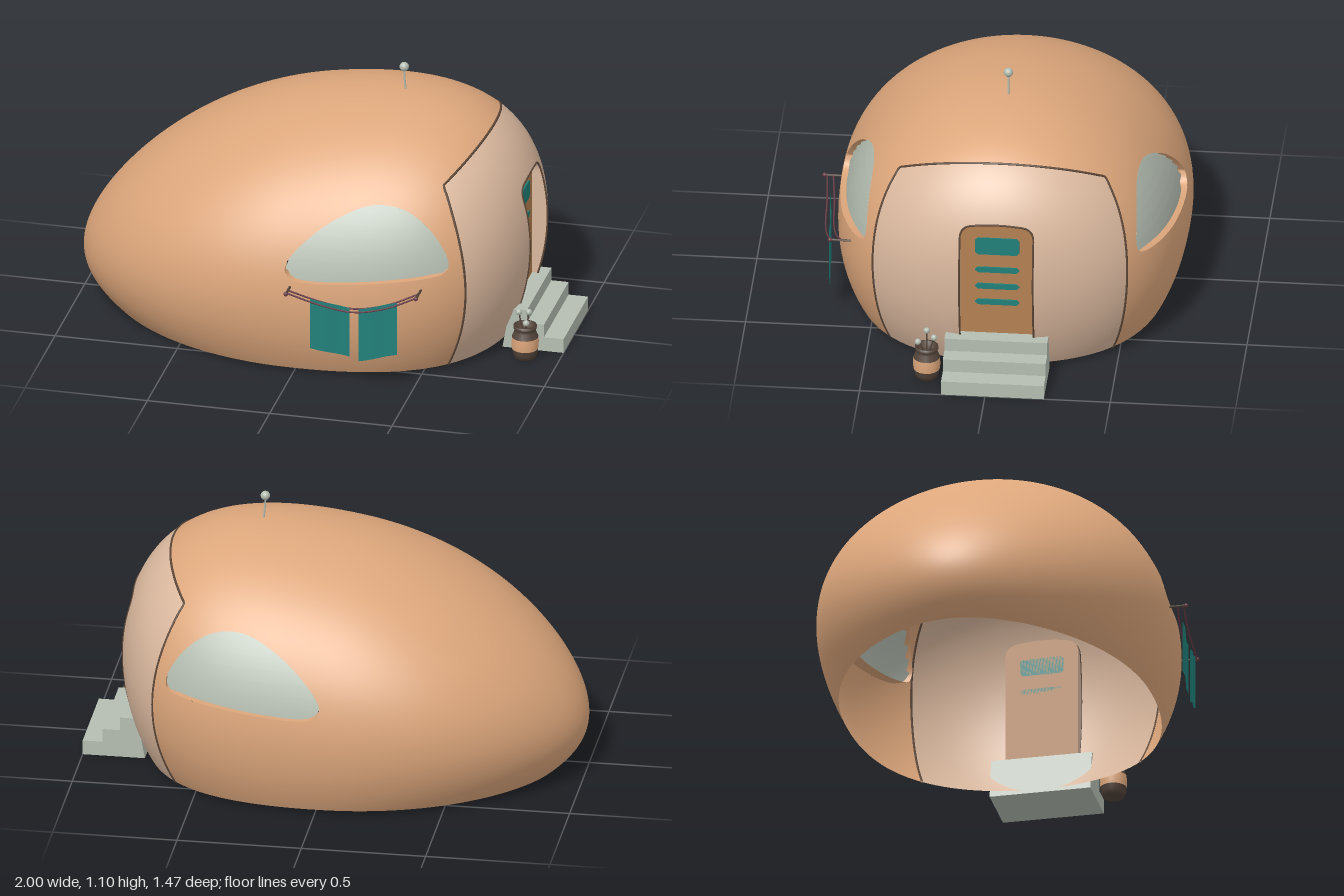
import * as THREE from 'three';
import { mergeVertices } from 'three/addons/utils/BufferGeometryUtils.js';

const mat = (name, color) => new THREE.MeshStandardMaterial({ name, color, side: THREE.DoubleSide });
const M = {
  shell: mat('shell clay', 0xdca67b), panel: mat('front panel', 0xdab89e), door: mat('door wood', 0xb58253),
  teal: mat('teal', 0x21807a), grey: mat('pale grey', 0xb5beb2), seam: mat('seam brown', 0x5e4838),
  dark: mat('dark brown', 0x53443a), cord: mat('cord', 0x6b3d48),
};
const ZC = -0.03, FLOOR = 0.015;

// Egg rule: X runs -1..1 from the low tail to the blunt front
const mid = X => 0.308 + (X > 0 ? 0.12 * X * X : 0.1 * X ** 3);
const tall = X => 0.645 + 0.19 * X + (X > 0 ? 0.05 * X ** 4 : 0);
const wide = X => 0.70 + (X > 0 ? 0.22 * X * X : -0.1 * X ** 4);
const toX = x => (x + 0.07) / 0.93;
const room = (X, y) => 1 - X * X - ((y - mid(X)) / tall(X)) ** 2;
const sideZ = (x, y) => wide(toX(x)) * Math.sqrt(Math.max(0, room(toX(x), y)));
function bisect(f, lo, hi) { // f is positive at lo, negative at hi
  for (let i = 0; i < 40; i++) { const m = (lo + hi) / 2; if (f(m) > 0) lo = m; else hi = m; }
  return lo;
}
const frontX = (y, z) => -0.07 + 0.93 * bisect(X => room(X, y) - (z / wide(X)) ** 2, 0.3, 1);
const panelEdge = y => Math.max(0.56 + 1.09 * (y - 0.78), 0.672 - 0.667 * (y - 0.37) ** 2);

// Egg surface as triangles of [x, y, z, nx, ny, nz]
function eggTriangles() {
  let g = new THREE.SphereGeometry(1, 128, 96).rotateZ(-Math.PI / 2);
  g.deleteAttribute('uv'); g.deleteAttribute('normal');
  g = mergeVertices(g);
  const p = g.attributes.position;
  for (let i = 0; i < p.count; i++) {
    const X = p.getX(i);
    p.setXYZ(i, -0.07 + 0.93 * X, mid(X) + tall(X) * p.getY(i), ZC + wide(X) * p.getZ(i));
  }
  g.computeVertexNormals();
  g = g.toNonIndexed();
  const a = g.attributes.position.array, n = g.attributes.normal.array, tris = [];
  for (let i = 0; i < a.length; i += 9)
    tris.push([0, 3, 6].map(k => [...a.slice(i + k, i + k + 3), ...n.slice(i + k, i + k + 3)]));
  return tris;
}

// Keep the part of the triangles where f >= 0
function clip(tris, f) {
  const out = [];
  for (const t of tris) {
    const d = t.map(f), poly = [];
    for (let i = 0; i < 3; i++) {
      const j = (i + 1) % 3;
      if (d[i] >= 0) poly.push(t[i]);
      if ((d[i] >= 0) !== (d[j] >= 0)) {
        const k = d[i] / (d[i] - d[j]);
        poly.push(t[i].map((v, n) => v + (t[j][n] - v) * k));
      }
    }
    for (let i = 2; i < poly.length; i++) out.push([poly[0], poly[i - 1], poly[i]]);
  }
  return out;
}
function toGeometry(tris) {
  const v = tris.flat(), g = new THREE.BufferGeometry();
  g.setAttribute('position', new THREE.Float32BufferAttribute(v.flatMap(a => a.slice(0, 3)), 3));
  g.setAttribute('normal', new THREE.Float32BufferAttribute(v.flatMap(a => a.slice(3)), 3));
  return g;
}
// Signed distance to a closed outline, positive inside
function inside(poly, u, v) {
  let best = Infinity, odd = false;
  poly.forEach((a, i) => {
    const b = poly[(i + 1) % poly.length], dx = b.x - a.x, dy = b.y - a.y;
    const k = Math.min(1, Math.max(0, ((u - a.x) * dx + (v - a.y) * dy) / (dx * dx + dy * dy || 1)));
    best = Math.min(best, Math.hypot(u - a.x - dx * k, v - a.y - dy * k));
    if ((a.y > v) !== (b.y > v) && u < a.x + (v - a.y) / dy * dx) odd = !odd;
  });
  return odd ? best : -best;
}
// Closed band between two loops
function band(a, b) {
  const pos = [], idx = [], n = a.length;
  a.forEach((p, i) => {
    pos.push(...p, ...b[i]);
    const q = 2 * i, r = 2 * ((i + 1) % n);
    idx.push(q, r, q + 1, r, r + 1, q + 1);
  });
  const g = new THREE.BufferGeometry();
  g.setAttribute('position', new THREE.Float32BufferAttribute(pos, 3));
  g.setIndex(idx);
  g.computeVertexNormals();
  return g;
}

export function createModel() {
  const root = new THREE.Group();
  root.name = 'eggHouse';
  const add = (name, geo, m, x = 0, y = 0, z = 0, parent = root) => {
    const mesh = new THREE.Mesh(geo, m);
    mesh.name = name;
    mesh.position.set(x, y, z);
    parent.add(mesh);
    return mesh;
  };
  const tube = (name, pts, r, m, closed = false, seg = 24, parent = root) => add(name, new THREE.TubeGeometry(
    new THREE.CatmullRomCurve3(pts.map(p => new THREE.Vector3(...p)), closed), seg, r, 6, closed), m, 0, 0, 0, parent);

  // Outlines of the side windows (x, y) and the door (z, y)
  const win = new THREE.SplineCurve([[-0.03, 0.48], [0.02, 0.55], [0.12, 0.64], [0.25, 0.71], [0.35, 0.725],
    [0.45, 0.7], [0.54, 0.63], [0.6, 0.54], [0.612, 0.485], [0.58, 0.458], [0.4, 0.44], [0.2, 0.425],
    [0.05, 0.422], [-0.01, 0.44], [-0.03, 0.48]].map(p => new THREE.Vector2(...p))).getPoints(70).slice(0, -1);
  const doorShape = new THREE.Shape().moveTo(-0.147, 0.13).lineTo(0.147, 0.13).lineTo(0.147, 0.625);
  doorShape.quadraticCurveTo(0.143, 0.666, 0.1, 0.672).quadraticCurveTo(0, 0.69, -0.1, 0.672);
  doorShape.quadraticCurveTo(-0.143, 0.666, -0.147, 0.625).lineTo(-0.147, 0.13);
  const doorLine = doorShape.getSpacedPoints(90).slice(0, -1);

  // Shell with window holes, and front panel with a door hole
  const egg = clip(eggTriangles(), v => v[1] - FLOOR);
  const shell = clip(egg, v => panelEdge(v[1]) - v[0]);
  add('shell', toGeometry(clip(shell, v => -inside(win, v[0], v[1]))), M.shell);
  const front = clip(egg, v => v[0] - panelEdge(v[1]));
  add('frontPanel', toGeometry(clip(front, v => -inside(doorLine, v[2] - ZC, v[1]))), M.panel);

  // Seam around the front panel
  const top = bisect(y => room(toX(panelEdge(y)), y), 0.78, 0.98), half = [];
  for (let i = 0; i < 20; i++) half.push(FLOOR + (0.78 - FLOOR) * i / 20);
  for (let i = 0; i <= 20; i++) half.push(0.78 + (top - 0.78) * Math.sin(i / 20 * Math.PI / 2));
  const seam = s => half.map(y => [panelEdge(y), y, ZC + s * sideZ(panelEdge(y), y)]);
  tube('panelSeam', [...seam(1), ...seam(-1).reverse().slice(1)], 0.005, M.seam, false, 200);

  // Shuttered windows: overlapping slats set back in the wall
  const glass = clip(shell, v => inside(win, v[0], v[1]));
  for (let i = 0; i < 7; i++) {
    const y0 = 0.415 + i * 0.046;
    const slat = clip(clip(glass, v => v[1] - y0), v => y0 + 0.05 - v[1]).map(t => t.map(v => {
      const w = v.slice();
      w[2] -= Math.sign(v[2] - ZC) * (0.02 + 0.018 * (v[1] - y0) / 0.046);
      return w;
    }));
    if (slat.length) add('windowSlats', toGeometry(slat), M.grey);
  }
  for (const s of [1, -1]) {
    const loop = d => win.map(p => [p.x, p.y, ZC + s * (sideZ(p.x, p.y) - d)]);
    add('windowReveal', band(loop(0), loop(0.05)), M.shell);
  }

  // Recessed door
  const DX = 0.785;
  const rim = doorLine.map(p => [frontX(p.y, p.x), p.y, ZC + p.x]);
  add('doorReveal', band(rim, rim.map(p => [DX, p[1], p[2]])), M.panel);
  tube('doorTrim', rim, 0.004, M.seam, true, 140);
  add('door', new THREE.ShapeGeometry(doorShape).rotateY(Math.PI / 2), M.door, DX, 0, ZC);
  for (const [y, h] of [[0.568, 0.075], [0.46, 0.024], [0.385, 0.024], [0.313, 0.024]]) {
    const a = 0.088, b = h / 2, c = 0.011, s = new THREE.Shape();
    [[-a, -b + c], [-a + c, -b], [a - c, -b], [a, -b + c], [a, b - c], [a - c, b], [-a + c, b], [-a, b - c]]
      .forEach((p, i) => i ? s.lineTo(...p) : s.moveTo(...p));
    add('doorPane', new THREE.ExtrudeGeometry(s, { depth: 0.006, bevelEnabled: false }).rotateY(Math.PI / 2),
      M.teal, DX, y, ZC);
  }

  // Entrance steps
  const steps = new THREE.Shape([[0.75, 0], [1, 0], [1, 0.06], [0.92, 0.06], [0.92, 0.115], [0.85, 0.115],
    [0.85, 0.17], [0.78, 0.17]].map(p => new THREE.Vector2(...p)));
  add('steps', new THREE.ExtrudeGeometry(steps, { depth: 0.41, bevelEnabled: false }), M.grey, 0, 0, -0.235);

  // Jar with round-headed stems
  const jar = new THREE.Group();
  jar.name = 'jar';
  jar.position.set(0.86, 0, 0.245);
  root.add(jar);
  const lathe = (name, pts, m) => add(name, new THREE.LatheGeometry(pts.map(p => new THREE.Vector2(...p)), 16), m, 0, 0, 0, jar);
  lathe('jarBase', [[0, 0], [0.042, 0], [0.049, 0.02], [0.053, 0.04]], M.dark);
  lathe('jarBody', [[0.053, 0.04], [0.055, 0.065], [0.053, 0.09]], M.shell);
  lathe('jarNeck', [[0.053, 0.09], [0.043, 0.115], [0.041, 0.122], [0.047, 0.128], [0.047, 0.14], [0.036, 0.14], [0.034, 0.12], [0, 0.118]], M.dark);
  for (const [x, y, z] of [[-0.025, 0.195, 0.002], [0.008, 0.183, -0.03], [0.012, 0.163, 0.034]]) {
    tube('stem', [[0, 0.1, 0], [x * 0.6, 0.14, z * 0.6], [x, y, z]], 0.003, M.dark, false, 8, jar);
    add('stemHead', new THREE.SphereGeometry(0.013, 12, 8), M.grey, x, y, z, jar);
  }

  // Roof antenna
  tube('antennaRod', [[0.306, 0.975, ZC], [0.3, 1.03, ZC], [0.297, 1.08, ZC]], 0.004, M.grey);
  add('antennaBall', new THREE.SphereGeometry(0.019, 16, 12), M.grey, 0.298, 1.085, ZC);

  // Clothesline: two brackets, two cords and two cloths
  for (const [x, y, z0, z1] of [[0, 0.4, 0.58, 0.73], [0.515, 0.405, 0.54, 0.662]]) {
    tube('lineBracket', [[x, y, z0], [x, y, (z0 + z1) / 2], [x, y, z1]], 0.005, M.dark);
    add('bracketKnob', new THREE.SphereGeometry(0.009, 10, 8), M.cord, x, y, z1);
  }
  for (const [z0, z1] of [[0.72, 0.655], [0.695, 0.615]])
    tube('lineCord', [[0, 0.4, z0], [0.13, 0.358, z0 * 0.7 + z1 * 0.3 + 0.008], [0.27, 0.337, (z0 + z1) / 2 + 0.014],
      [0.4, 0.36, z0 * 0.25 + z1 * 0.75 + 0.012], [0.515, 0.405, z1]], 0.0035, M.cord);
  for (const [x0, x1, t0, t1, b0, b1] of [[0.09, 0.25, 0.375, 0.345, 0.158, 0.132], [0.285, 0.44, 0.343, 0.383, 0.115, 0.155]]) {
    const g = new THREE.PlaneGeometry(1, 1, 8, 6), p = g.attributes.position;
    for (let i = 0; i < p.count; i++) {
      const u = p.getX(i) + 0.5, v = p.getY(i) + 0.5, x = x0 + (x1 - x0) * u;
      const lo = b0 + (b1 - b0) * u, hi = t0 + (t1 - t0) * u;
      p.setXYZ(i, x, lo + (hi - lo) * v, 0.702 - 0.07 * x + 0.004 * Math.sin(u * 6));
    }
    g.computeVertexNormals();
    add('cloth', g, M.teal);
  }
  return root;
}
